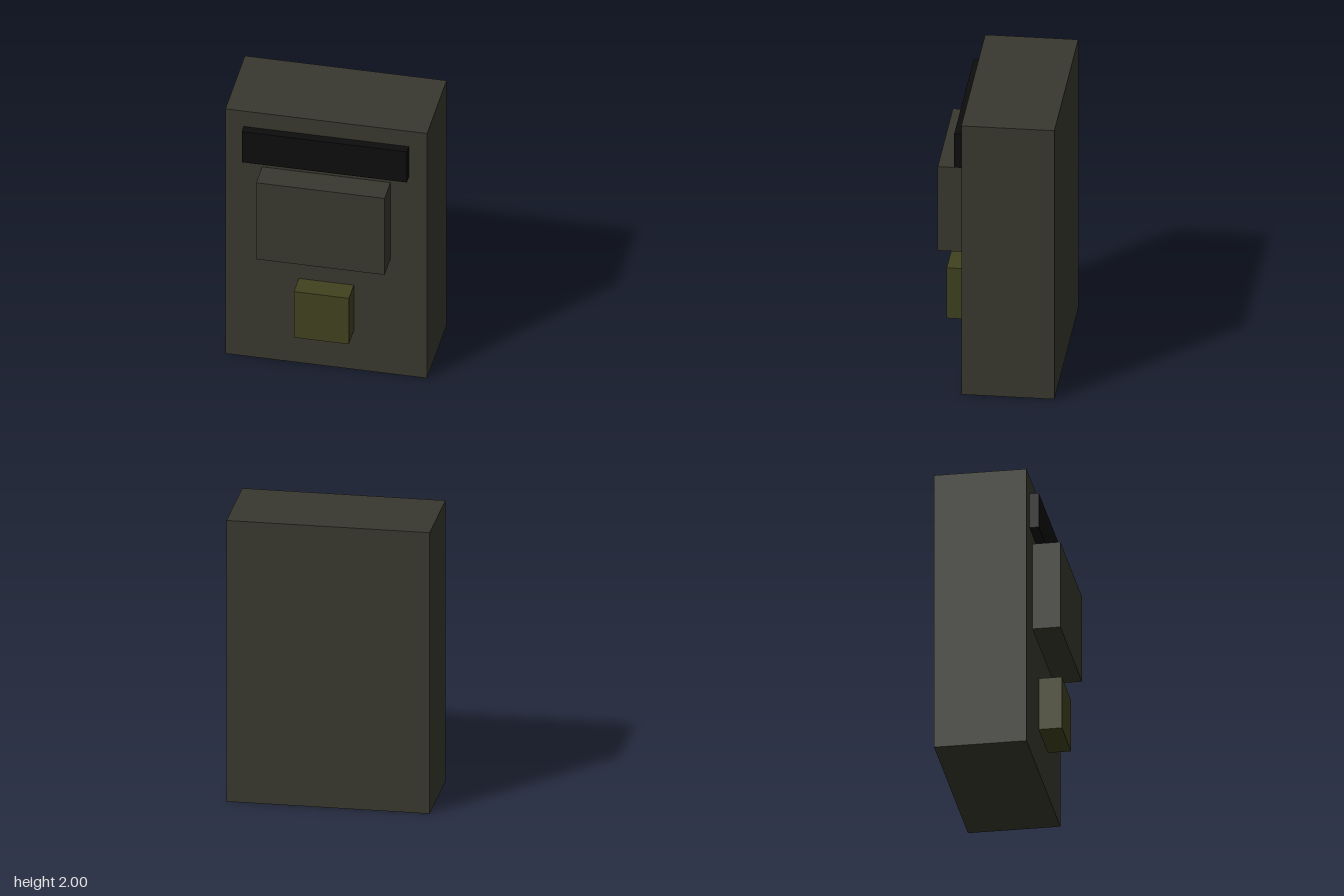
import * as THREE from 'three';

const material = (name, color) => {
  const m = new THREE.MeshStandardMaterial({ color });
  m.name = name;
  return m;
};

export function createModel() {
  const casing = material('dark olive grey', 0x39382f);
  const black = material('black', 0x0d0d0d);
  const olive = material('olive green', 0x40421f);
  const group = new THREE.Group();
  group.name = 'wallUnit';

  // Box centred on x, given by its width and its y and z ranges
  const addBox = (name, mat, width, y0, y1, z0, z1) => {
    const mesh = new THREE.Mesh(new THREE.BoxGeometry(width, y1 - y0, z1 - z0), mat);
    mesh.position.set(0, (y0 + y1) / 2, (z0 + z1) / 2);
    mesh.name = name;
    group.add(mesh);
  };

  const front = 0.21875;
  // Main casing
  addBox('casing', casing, 1.375, 0, 2, -0.40625, front);
  // Parts raised from the front face
  addBox('displayStrip', black, 1.125, 1.625, 1.875, front, 0.28125);
  addBox('raisedPanel', casing, 0.875, 0.9375, 1.5625, front, 0.40625);
  addBox('button', olive, 0.375, 0.3125, 0.6875, front, 0.375);

  return group;
}
